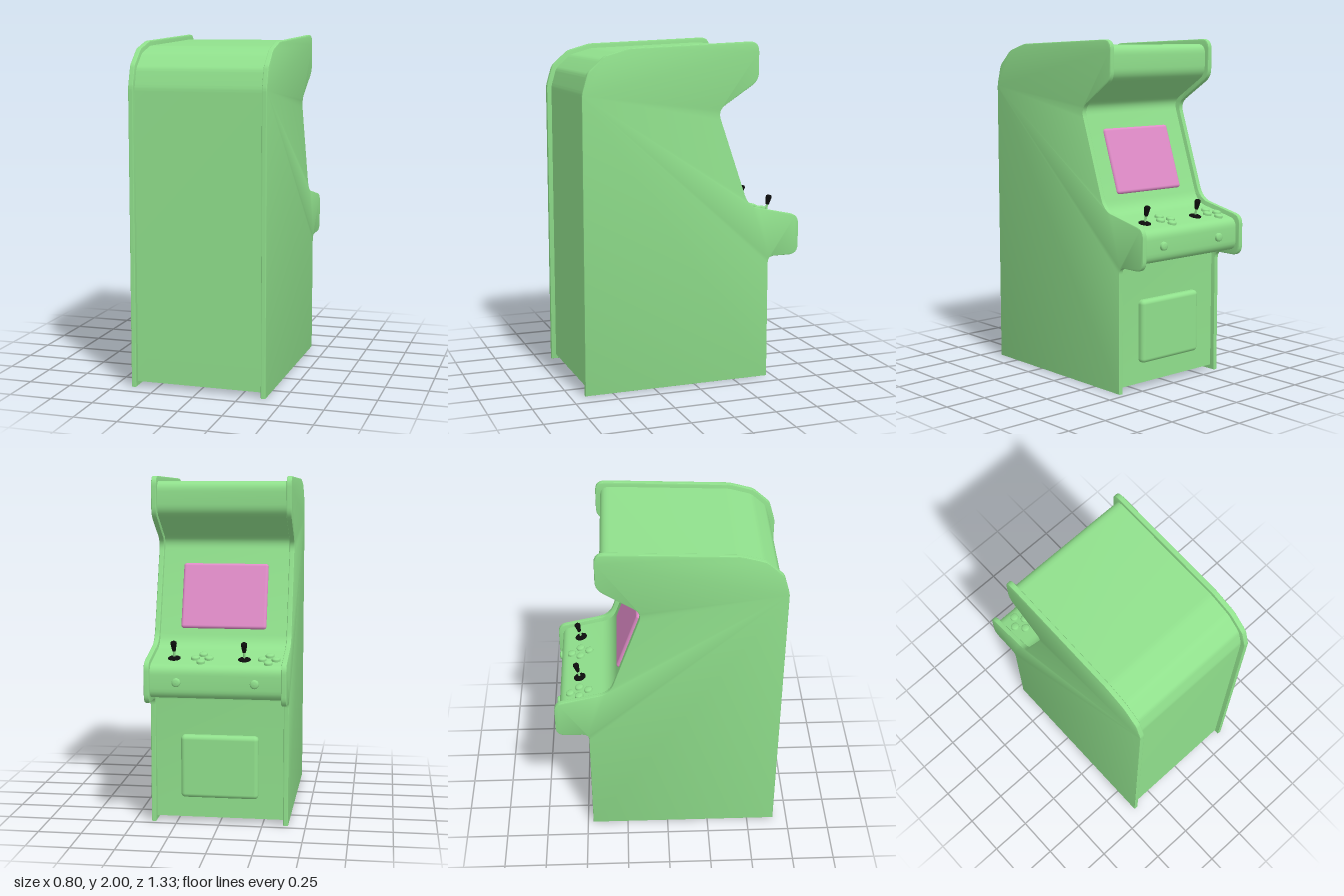
import * as THREE from 'three';
import { toCreasedNormals } from 'three/addons/utils/BufferGeometryUtils.js';
import { RoundedBoxGeometry } from 'three/addons/geometries/RoundedBoxGeometry.js';

const green = new THREE.MeshStandardMaterial({ color: 0x90e08c });
const greenShell = new THREE.MeshStandardMaterial({ color: 0x90e08c, side: THREE.DoubleSide });
const pink = new THREE.MeshStandardMaterial({ color: 0xe08cc8 });
const black = new THREE.MeshStandardMaterial({ color: 0x0c0c0c });

const HALF_WIDTH = 0.4, PANEL = 0.03, INSET = 0.028;

// Side outline as [-z, y, rounding], from the back foot over the top to the front foot
const OUTLINE = [
  [-0.665, 0, 0], [-0.665, 1.72, 0.02], [-0.63, 1.84, 0.02], [-0.53, 1.93, 0.02], [-0.39, 1.97, 0.02],
  [0.395, 2.0, 0.06], [0.395, 1.775, 0.05], [0.142, 1.61, 0.055], [0.338, 1.043, 0.07],
  [0.662, 0.972, 0.05], [0.662, 0.735, 0.06], [0.467, 0.735, 0.04], [0.467, 0, 0],
];

// Moves every edge of the outline inward by d
function insetOutline(pts, d) {
  const n = pts.length;
  return pts.map(([x, y, r], i) => {
    const p = pts[(i + n - 1) % n], q = pts[(i + 1) % n];
    const e1 = new THREE.Vector2(x - p[0], y - p[1]).normalize();
    const e2 = new THREE.Vector2(q[0] - x, q[1] - y).normalize();
    const n1 = new THREE.Vector2(e1.y, -e1.x), n2 = new THREE.Vector2(e2.y, -e2.x);
    const k = d / (1 + n1.dot(n2));
    return [x + (n1.x + n2.x) * k, y + (n1.y + n2.y) * k, r];
  });
}

// Rounds the corners of an outline
function roundedShape(pts) {
  const shape = new THREE.Shape();
  const n = pts.length;
  pts.forEach(([x, y, r], i) => {
    if (i === 0) return shape.moveTo(x, y);
    if (r === 0) return shape.lineTo(x, y);
    const c = new THREE.Vector2(x, y);
    const toward = (o) => new THREE.Vector2(o[0] - x, o[1] - y).setLength(r).add(c);
    const a = toward(pts[i - 1]), b = toward(pts[(i + 1) % n]);
    shape.lineTo(a.x, a.y);
    shape.quadraticCurveTo(x, y, b.x, b.y);
  });
  return shape;
}

function add(parent, name, geometry, material, x = 0, y = 0, z = 0) {
  const mesh = new THREE.Mesh(geometry, material);
  mesh.name = name;
  mesh.position.set(x, y, z);
  parent.add(mesh);
  return mesh;
}

function sidePanelGeometry() {
  const bevel = 0.006;
  const geo = new THREE.ExtrudeGeometry(roundedShape(OUTLINE), {
    depth: PANEL - 2 * bevel, curveSegments: 6,
    bevelThickness: bevel, bevelSize: bevel, bevelOffset: -bevel, bevelSegments: 2,
  });
  geo.translate(0, 0, bevel - PANEL / 2).rotateY(Math.PI / 2);
  return toCreasedNormals(geo, 0.55);
}

// Skin between the side panels, open underneath
function bodyGeometry() {
  const pts = roundedShape(insetOutline(OUTLINE, INSET)).getPoints(6);
  const w = HALF_WIDTH - PANEL + 0.005;
  const pos = [], index = [];
  pts.forEach((p, i) => {
    pos.push(-w, p.y, -p.x, w, p.y, -p.x);
    if (i < pts.length - 1) {
      const a = 2 * i;
      index.push(a, a + 1, a + 3, a, a + 3, a + 2);
    }
  });
  const geo = new THREE.BufferGeometry();
  geo.setAttribute('position', new THREE.Float32BufferAttribute(pos, 3));
  geo.setIndex(index);
  geo.computeVertexNormals();
  return toCreasedNormals(geo, 0.55);
}

function lathe(points, segments = 24) {
  return new THREE.LatheGeometry(points.map(([x, y]) => new THREE.Vector2(x, y)), segments);
}

function createJoystick() {
  const stick = new THREE.Group();
  stick.name = 'joystick';
  add(stick, 'joystickBase', lathe([[0.036, -0.004], [0.036, 0.004], [0.032, 0.007], [0.018, 0.01], [0, 0.016]]), black);
  add(stick, 'joystickShaft', new THREE.CylinderGeometry(0.007, 0.007, 0.06, 12), green, 0, 0.03, 0);
  add(stick, 'joystickGrip', lathe([[0, 0.046], [0.009, 0.046], [0.011, 0.052], [0.018, 0.092], [0.017, 0.099], [0.011, 0.104], [0, 0.106]]), black);
  return stick;
}

export function createModel() {
  const cabinet = new THREE.Group();
  cabinet.name = 'arcadeCabinet';

  const panelGeo = sidePanelGeometry();
  for (const [name, s] of [['leftSidePanel', 1], ['rightSidePanel', -1]]) {
    add(cabinet, name, panelGeo, green, s * (HALF_WIDTH - PANEL / 2));
  }
  add(cabinet, 'bodyShell', bodyGeometry(), greenShell);

  // Screen on the sloping face
  const screen = add(cabinet, 'screen', new RoundedBoxGeometry(0.5, 0.39, 0.036, 4, 0.017), pink, 0, 1.3, -0.217);
  screen.rotation.x = 0.333;

  // Door on the lower front
  add(cabinet, 'coinDoor', new RoundedBoxGeometry(0.45, 0.37, 0.078, 4, 0.025), green, 0, 0.335, -0.438);

  // Sloping control deck with two sets of controls
  const deck = new THREE.Group();
  deck.name = 'controlDeck';
  deck.position.set(0, 0.975, -0.515);
  deck.rotation.x = -0.217;
  cabinet.add(deck);

  const buttonGeo = lathe([[0.025, -0.005], [0.025, 0.01], [0.022, 0.015], [0.014, 0.018], [0, 0.019]]);
  for (const x of [-0.15, 0.25]) {
    const stick = createJoystick();
    stick.position.x = x;
    deck.add(stick);
  }
  for (const x of [-0.29, 0.09]) {
    for (const [dx, dz] of [[-0.039, 0], [0.039, 0], [0, -0.055], [0, 0.055]]) {
      add(deck, 'actionButton', buttonGeo, green, x + dx, 0, dz);
    }
  }

  // Start buttons on the front lip
  for (const x of [-0.22, 0.22]) {
    add(cabinet, 'startButton', buttonGeo, green, x, 0.86, -0.634).rotation.x = -Math.PI / 2;
  }
  return cabinet;
}
